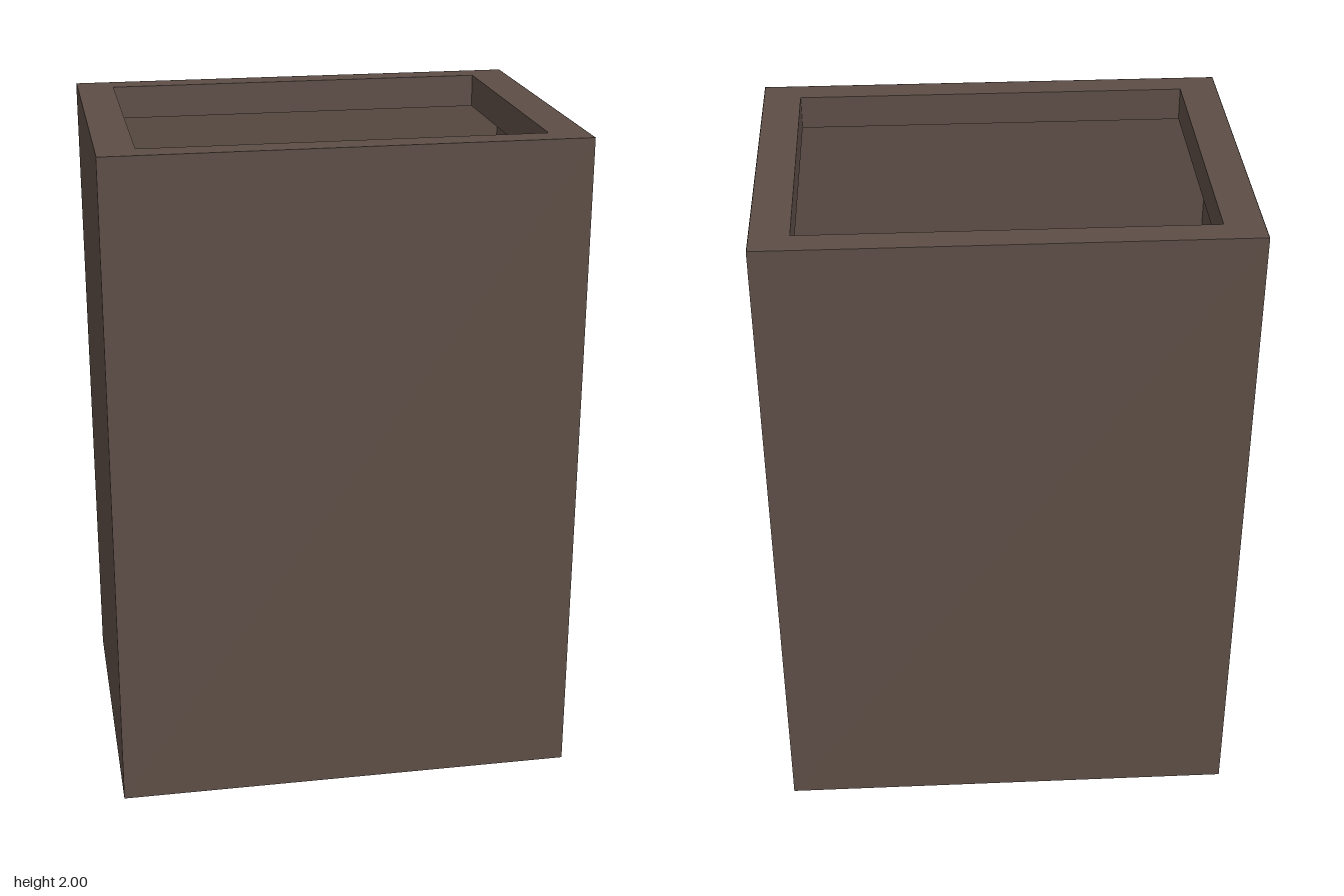
import * as THREE from 'three';

const X = 0.695, Z = 0.518, H = 2;   // half width, half depth, height
const RIM = 0.1;                     // height of the top rim

const material = new THREE.MeshStandardMaterial({
  color: 0x5d4e46, side: THREE.DoubleSide, flatShading: true,
});

// Arched outline: straight sides with a half circle on top
function archPoints(u, bottom, spring, r) {
  const pts = [new THREE.Vector2(u - r, bottom), new THREE.Vector2(u + r, bottom)];
  for (let i = 0; i <= 24; i++) {
    const a = Math.PI * i / 24;
    pts.push(new THREE.Vector2(u + r * Math.cos(a), spring + r * Math.sin(a)));
  }
  return pts;
}

// Open band that carries a closed outline from depth z0 to z1
function bandGeometry(pts, z0, z1) {
  const pos = [], index = [], n = pts.length;
  for (const p of pts) pos.push(p.x, p.y, z0, p.x, p.y, z1);
  for (let i = 0; i < n; i++) {
    const a = 2 * i, b = 2 * ((i + 1) % n);
    index.push(a, a + 1, b, b, a + 1, b + 1);
  }
  const g = new THREE.BufferGeometry();
  g.setAttribute('position', new THREE.Float32BufferAttribute(pos, 3));
  g.setIndex(index);
  g.computeVertexNormals();
  return g;
}

function rectPoints(w, d) {
  return [[-w, -d], [w, -d], [w, d], [-w, d]].map(([x, y]) => new THREE.Vector2(x, y));
}

function ringShape(outer, inner) {
  const s = new THREE.Shape(outer);
  s.holes.push(new THREE.Path(inner));
  return s;
}

export function createModel() {
  const model = new THREE.Group();
  const add = (name, geometry, parent = model) => {
    const m = new THREE.Mesh(geometry, material);
    m.name = name;
    parent.add(m);
    return m;
  };

  // Plain thin walls
  for (const s of [1, -1]) {
    const wall = add(s > 0 ? 'frontWall' : 'backWall', new THREE.PlaneGeometry(2 * X, H));
    wall.position.set(0, H / 2, s * Z);
    if (s < 0) wall.rotation.y = Math.PI;
  }
  const blank = add('rightWall', new THREE.PlaneGeometry(2 * Z, H));
  blank.position.set(-X, H / 2, 0);
  blank.rotation.y = -Math.PI / 2;

  // Pierced wall, drawn facing +z and turned to face +x
  const side = new THREE.Group();
  side.name = 'piercedWall';
  side.position.x = X;
  side.rotation.y = Math.PI / 2;
  model.add(side);

  const outer = archPoints(0.005, 1.085, 1.5, 0.27);
  const inner = archPoints(0.005, 1.132, 1.49, 0.25);

  // Outline steps up around the doorway
  const wall = new THREE.Shape([
    [-Z, 0], [-0.355, 0], [-0.355, 0.635], [0.025, 0.635],
    [0.025, 0], [Z, 0], [Z, H], [-Z, H],
  ].map(([x, y]) => new THREE.Vector2(x, y)));
  wall.holes.push(new THREE.Path(outer));
  add('leftWall', new THREE.ShapeGeometry(wall), side);

  // Stepped window surround
  add('windowReveal', bandGeometry(outer, -0.03, 0), side);
  const frame = add('windowFrame', new THREE.ExtrudeGeometry(
    ringShape(outer, inner), { depth: 0.02, bevelEnabled: false }), side);
  frame.position.z = -0.05;

  // Rim around the open top
  const rim = add('topRim', new THREE.ExtrudeGeometry(
    ringShape(rectPoints(X - 0.001, Z - 0.001), rectPoints(0.583, 0.435)),
    { depth: RIM, bevelEnabled: false }));
  rim.rotation.x = -Math.PI / 2;
  rim.position.y = H - RIM;

  return model;
}
